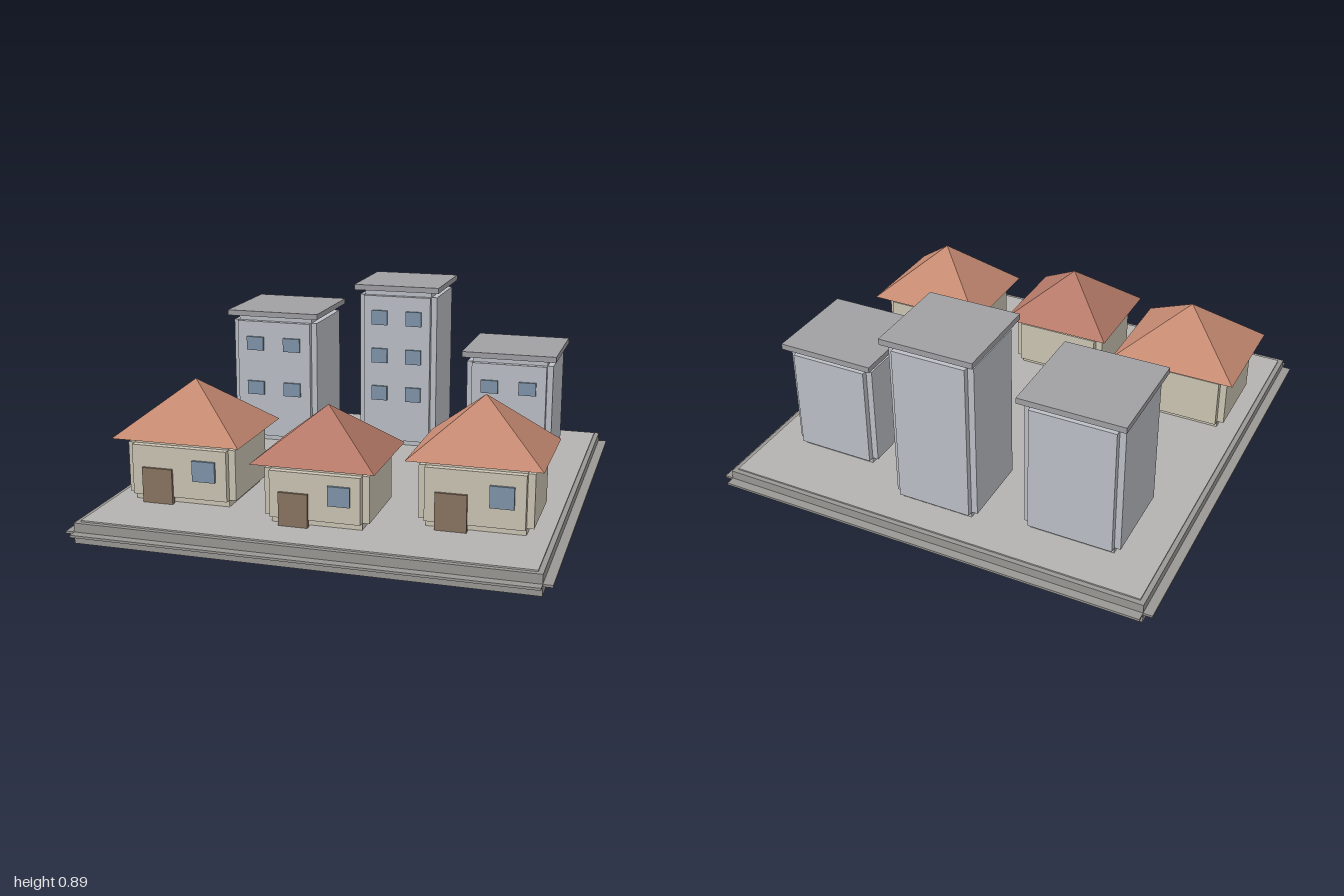
import * as THREE from 'three';

const GROUND = 0.094;
const mat = (color) => new THREE.MeshStandardMaterial({ color, flatShading: true });
const mats = {
  plinth: mat(0x9a9894), ground: mat(0xb5b3b0), wall: mat(0xccc5b4), tower: mat(0xbcbfc6),
  flatRoof: mat(0xa0a0a4), door: mat(0x8a7562), window: mat(0x7f95aa),
};

// Box given by its centre in x and z, its bottom and its size
function box(name, material, x, y0, z, w, h, d) {
  const mesh = new THREE.Mesh(new THREE.BoxGeometry(w, h, d), material);
  mesh.position.set(x, y0 + h / 2, z);
  mesh.name = name;
  return mesh;
}

// Block with notched edges: three crossing boxes, each full size along one axis
function notchedBlock(name, material, y0, w, h, d, r) {
  const g = new THREE.Group();
  g.name = name;
  g.add(
    box(name + 'Wide', material, 0, y0 + r, 0, w, h - 2 * r, d - 2 * r),
    box(name + 'Deep', material, 0, y0 + r, 0, w - 2 * r, h - 2 * r, d),
    box(name + 'Tall', material, 0, y0, 0, w - 2 * r, h, d - 2 * r),
  );
  return g;
}

// House: walls, four-sided roof, door and window on the front
function house({ x, z, w, d, eaves, apex, color }) {
  const g = new THREE.Group();
  g.name = 'house';
  g.position.set(x, 0, z);
  const h = eaves - GROUND;
  g.add(notchedBlock('houseWalls', mats.wall, GROUND, w, h, d, 0.03));

  const roofGeo = new THREE.ConeGeometry(Math.SQRT1_2, 1, 4, 1).rotateY(Math.PI / 4);
  const roof = new THREE.Mesh(roofGeo, mat(color));
  roof.name = 'hippedRoof';
  roof.scale.set(w * 1.175, apex - eaves, d * 1.2);
  roof.position.y = (eaves + apex) / 2;
  g.add(roof);

  g.add(box('door', mats.door, -0.2 * w, GROUND, d / 2, w * 0.28, h * 0.55, 0.024));
  g.add(box('window', mats.window, 0.235 * w, GROUND + h * 0.4, d / 2, w * 0.21, h * 0.32, 0.024));
  return g;
}

// Apartment block: walls, overhanging flat roof, two columns of windows
function apartment({ x, z, w, top, roofW, rows, winH }) {
  const g = new THREE.Group();
  g.name = 'apartmentBlock';
  g.position.set(x, 0, z);
  g.add(notchedBlock('blockWalls', mats.tower, GROUND, w, top - GROUND, w, 0.027));
  g.add(box('flatRoof', mats.flatRoof, 0, top, 0, roofW, 0.026, roofW));
  for (const y of rows)
    for (const side of [-1, 1])
      g.add(box('window', mats.window, side * 0.22 * w, y - winH / 2, w / 2, 0.2 * w, winH, 0.024));
  return g;
}

export function createModel() {
  const model = new THREE.Group();
  model.name = 'neighbourhood';

  // Ground
  model.add(notchedBlock('plinth', mats.plinth, 0, 2, 0.088, 2, 0.039));
  model.add(box('groundSlab', mats.ground, 0, 0.08, 0, 1.88, GROUND - 0.08, 1.88));

  // Front row of houses
  for (const spec of [
    { x: -0.629, z: 0.442, w: 0.487, d: 0.412, eaves: 0.374, apex: 0.598, color: 0xc68a72 },
    { x: 0.008, z: 0.56, w: 0.444, d: 0.395, eaves: 0.352, apex: 0.561, color: 0xb67a68 },
    { x: 0.635, z: 0.432, w: 0.472, d: 0.4, eaves: 0.382, apex: 0.617, color: 0xc68a72 },
  ]) model.add(house(spec));

  // Back row of apartment blocks
  for (const spec of [
    { x: -0.564, z: -0.555, w: 0.424, top: 0.722, roofW: 0.457, rows: [0.365, 0.587], winH: 0.066 },
    { x: 0.03, z: -0.627, w: 0.38, top: 0.861, roofW: 0.413, rows: [0.358, 0.544, 0.73], winH: 0.07 },
    { x: 0.604, z: -0.476, w: 0.4, top: 0.602, roofW: 0.434, rows: [0.468], winH: 0.06 },
  ]) model.add(apartment(spec));

  return model;
}
